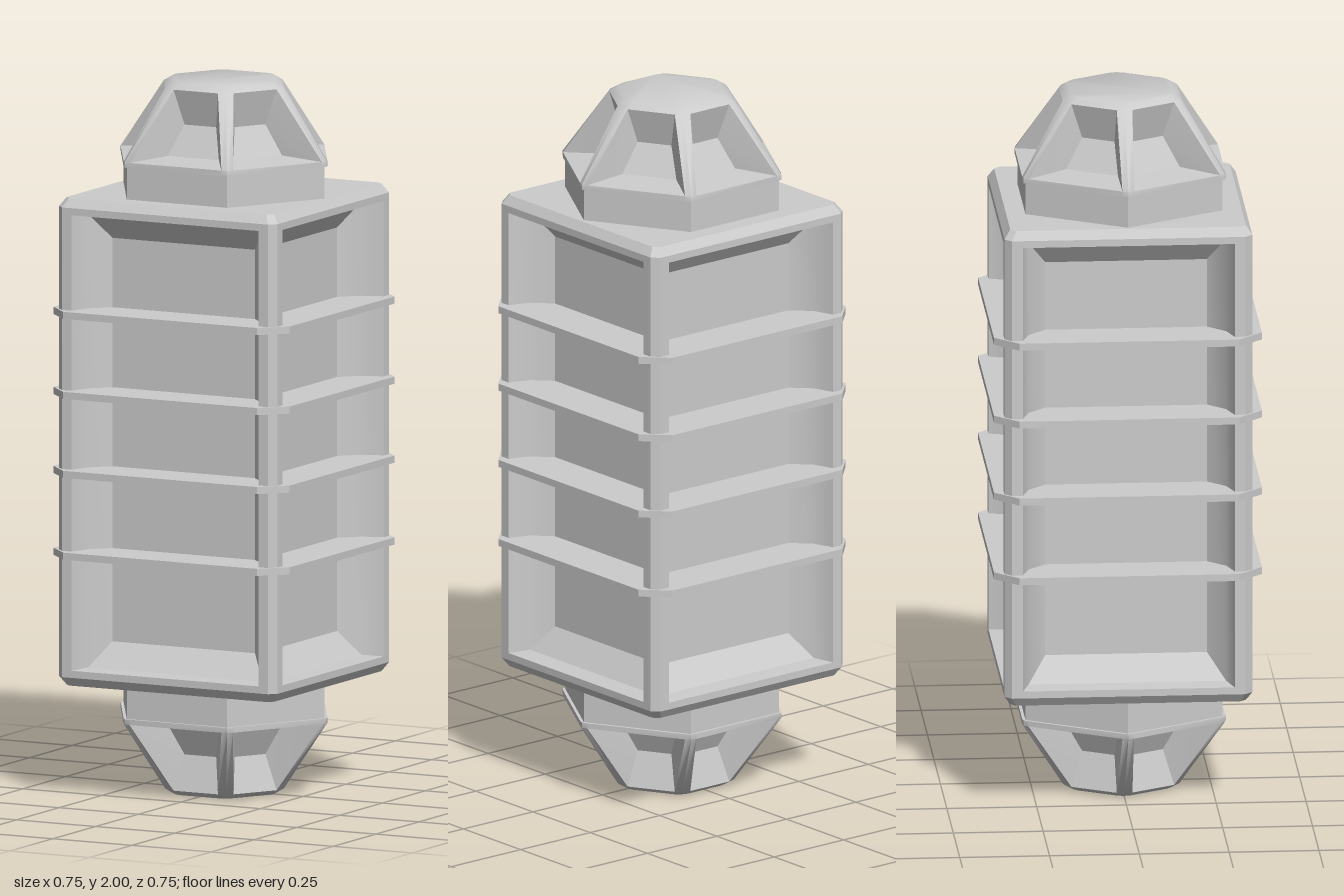
import * as THREE from 'three';
import { toCreasedNormals } from 'three/addons/utils/BufferGeometryUtils.js';

const material = new THREE.MeshStandardMaterial({ color: 0xcccccc });
const flat = new THREE.MeshStandardMaterial({ color: 0xcccccc, flatShading: true });

// Collects faces from nested point loops, counter-clockwise seen from outside
function surface() {
  const pos = [];
  const fill = (loop) => {
    for (let i = 1; i < loop.length - 1; i++) pos.push(...loop[0], ...loop[i], ...loop[i + 1]);
  };
  const strip = (a, b, closed = true) => {
    const n = a.length;
    for (let i = 0; i < (closed ? n : n - 1); i++) {
      const j = (i + 1) % n;
      fill([a[i], a[j], b[j], b[i]]);
    }
  };
  const build = (crease) => {
    const g = new THREE.BufferGeometry();
    g.setAttribute('position', new THREE.Float32BufferAttribute(pos, 3));
    g.computeVertexNormals();
    return toCreasedNormals(g, crease);
  };
  return { fill, strip, build };
}

const turn = ([x, y, z], a) => [
  x * Math.cos(a) + z * Math.sin(a), y, z * Math.cos(a) - x * Math.sin(a)];
const rect = (w, h, z) => [[-w, -h, z], [w, -h, z], [w, h, z], [-w, h, z]];

// Square housing with a bevelled deep recess on each of its four sides
function bodyGeometry() {
  const s = surface();
  const rings = [rect(0.325, 0.66, 0.345), rect(0.295, 0.64, 0.345),
    rect(0.275, 0.637, 0.285), rect(0.225, 0.567, 0.235)];
  const edge = [], lid = [];
  for (let i = 0; i < 4; i++) {
    const a = i * Math.PI / 2;
    const t = rings.map((r) => r.map((p) => turn(p, a)));
    for (let k = 0; k < 3; k++) s.strip(t[k], t[k + 1]);
    s.fill(t[3]);
    // chamfer on the upright corner
    const next = rings[0].map((p) => turn(p, a + Math.PI / 2));
    s.fill([t[0][1], next[0], next[3], t[0][2]]);
    edge.push(t[0][3], t[0][2]);
    lid.push(turn([-0.312, 0.685, 0.328], a), turn([0.312, 0.685, 0.328], a));
  }
  const flip = (loop) => loop.map(([x, y, z]) => [-x, -y, z]);
  s.strip(edge, lid);
  s.fill(lid);
  s.strip(flip(edge), flip(lid));
  s.fill(flip(lid));
  return s.build(0.5);
}

// Hexagonal cage cap: six sunken windows between rounded ribs
function capGeometry() {
  const s = surface();
  const opening = [[-0.145, 0.79, 0.283], [0.145, 0.79, 0.283], [0.07, 0.985, 0.165], [-0.07, 0.985, 0.165]];
  const panel = [[-0.08, 0.8, 0.178], [0.08, 0.8, 0.178], [0.05, 0.885, 0.138], [-0.05, 0.885, 0.138]];
  const low = [], high = [];
  for (let i = 0; i < 6; i++) {
    const a = i * Math.PI / 3;
    const o = opening.map((p) => turn(p, a)), p = panel.map((q) => turn(q, a));
    s.strip(o, p);
    s.fill(p);
    // rib over the corner to the next window
    const next = opening.map((q) => turn(q, a + Math.PI / 3));
    const midLow = turn([0, 0.79, 0.324], a + Math.PI / 6);
    const midHigh = turn([0, 0.985, 0.183], a + Math.PI / 6);
    s.strip([o[1], midLow, next[0]], [o[2], midHigh, next[3]], false);
    low.push(o[0], o[1], midLow);
    high.push(o[3], o[2], midHigh);
  }
  const base = low.map(([x, , z]) => [x, 0.775, z]);
  const top = high.map(([x, , z]) => [x * 0.86, 1, z * 0.86]);
  s.strip(base, low);
  s.fill([...base].reverse());
  s.strip(high, top);
  s.fill(top);
  return s.build(0.6);
}

// Thin octagonal plate
function finGeometry() {
  const shape = new THREE.Shape();
  for (let i = 0; i < 4; i++) {
    for (const x of [-0.306, 0.306]) {
      const p = turn([x, 0, 0.373], i * Math.PI / 2);
      if (i === 0 && x < 0) shape.moveTo(p[0], p[2]);
      else shape.lineTo(p[0], p[2]);
    }
  }
  const g = new THREE.ExtrudeGeometry(shape, { depth: 0.02, bevelEnabled: false });
  return g.translate(0, 0, -0.01).rotateX(Math.PI / 2);
}

export function createModel() {
  const model = new THREE.Group();
  model.name = 'cagedCanister';
  const add = (parent, name, geometry, mat, y) => {
    const m = new THREE.Mesh(geometry, mat);
    m.name = name;
    m.position.y = y;
    parent.add(m);
  };

  add(model, 'body', bodyGeometry(), material, 1);

  const fin = finGeometry();
  [0.685, 0.915, 1.137, 1.362].forEach((y, i) => add(model, `fin${i + 1}`, fin, flat, y));

  // Matching neck and cap at both ends
  const cap = capGeometry();
  const neck = new THREE.CylinderGeometry(0.317, 0.317, 0.1, 6).rotateY(Math.PI / 6);
  for (const end of ['top', 'bottom']) {
    const group = new THREE.Group();
    group.name = `${end}End`;
    group.position.y = 1;
    if (end === 'bottom') group.rotation.z = Math.PI;
    add(group, `${end}Neck`, neck, flat, 0.73);
    add(group, `${end}Cap`, cap, material, 0);
    model.add(group);
  }
  return model;
}
